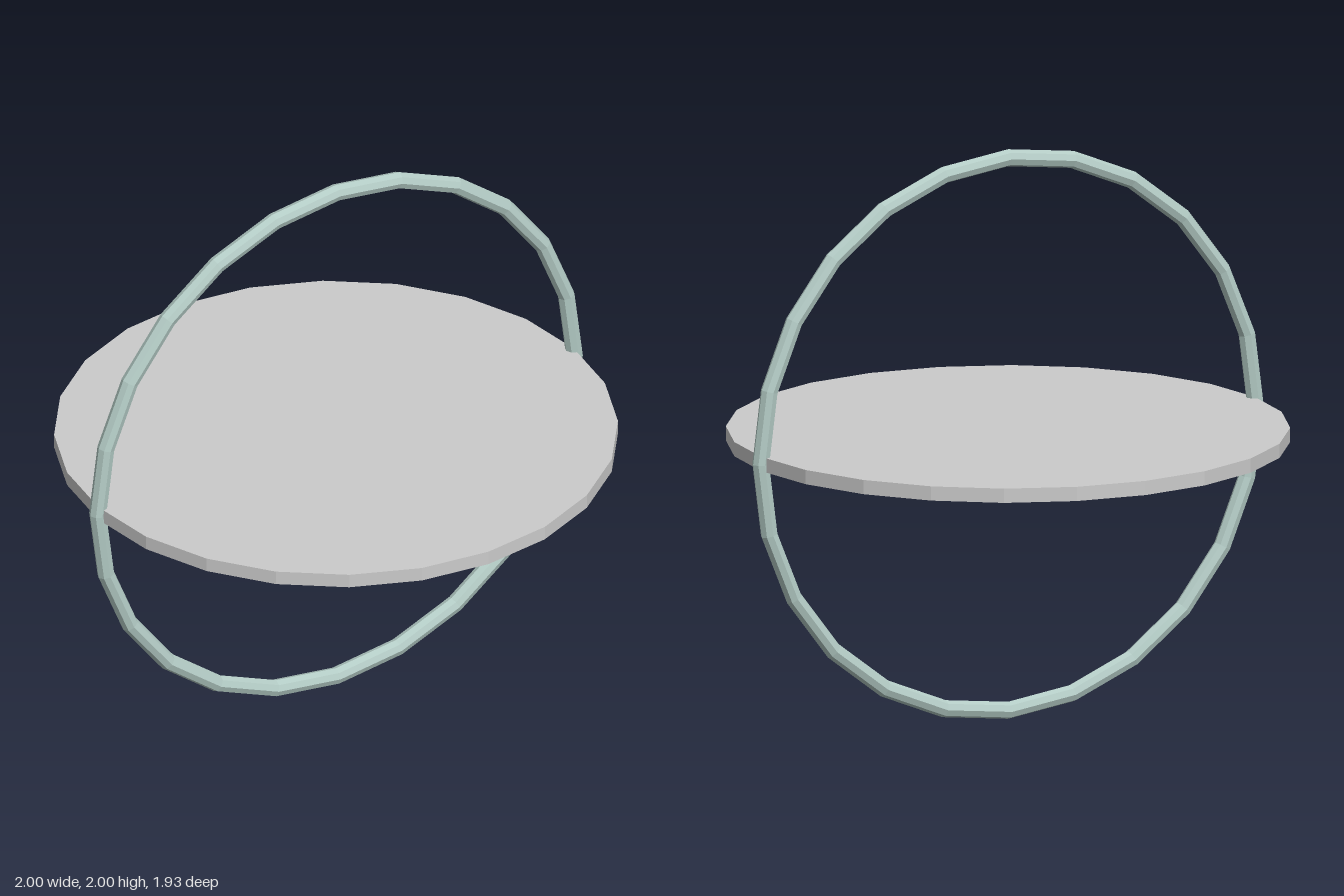
import * as THREE from 'three';

const SIDES = 24;

function addPart(group, name, geometry, color) {
  const mesh = new THREE.Mesh(
    geometry,
    new THREE.MeshStandardMaterial({ color, flatShading: true })
  );
  mesh.name = name;
  mesh.position.y = 1;
  group.add(mesh);
  return mesh;
}

export function createModel() {
  const group = new THREE.Group();
  group.name = 'ringAndDisc';

  // Upright faceted hoop
  addPart(group, 'ring', new THREE.TorusGeometry(0.97, 0.03, 8, SIDES), 0xb4ccc6);

  // Thin horizontal plate through the middle of the hoop
  addPart(group, 'disc', new THREE.CylinderGeometry(0.967, 0.967, 0.05, SIDES), 0xcccccc);

  return group;
}
